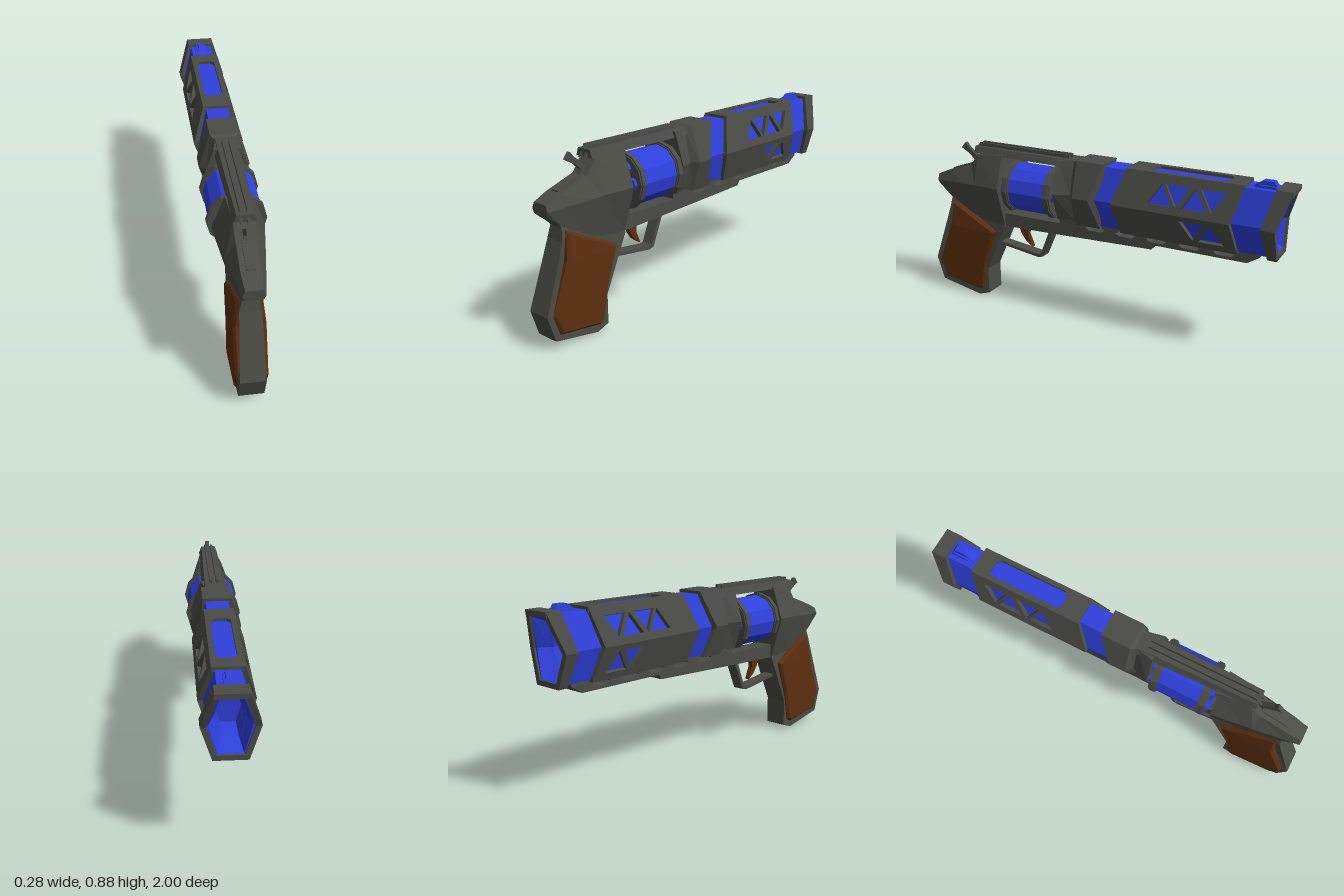
import * as THREE from 'three';

const mat = (name, color) => {
  const m = new THREE.MeshStandardMaterial({ color });
  m.name = name;
  return m;
};

// Hexagonal barrel section, counter-clockwise seen from +z, and the level of each corner
const HEX = [[0.075, 0.535], [0.125, 0.69], [0.07, 0.867], [-0.07, 0.867], [-0.125, 0.69], [-0.075, 0.535]];
const BORE = [[0.06, 0.545], [0.1, 0.69], [0.055, 0.853], [-0.055, 0.853], [-0.1, 0.69], [-0.06, 0.545]];
const LEVEL = [0, 1, 2, 2, 1, 0];

export function createModel() {
  const root = new THREE.Group();
  root.name = 'revolver';
  const steel = mat('dark steel', 0x4b4c46);
  const blue = mat('blue metal', 0x2f40dc);
  const wood = mat('brown grip', 0x5c2e0f);

  const add = (name, geometry, material, parent = root) => {
    const mesh = new THREE.Mesh(geometry, material);
    mesh.name = name;
    parent.add(mesh);
    return mesh;
  };

  const toShape = (pts) => new THREE.Shape(pts.map(([u, v]) => new THREE.Vector2(u, v)));

  // Side profile in (z, y), extruded across x and centred
  const slab = (pts, width, holes = [], bevel = 0) => {
    const shape = toShape(pts);
    shape.holes = holes.map(toShape);
    const depth = width - 2 * bevel;
    const g = new THREE.ExtrudeGeometry(shape, {
      depth, bevelEnabled: bevel > 0, bevelSize: bevel, bevelThickness: bevel, bevelOffset: -bevel, bevelSegments: 1,
    });
    g.translate(0, 0, -depth / 2);
    return g.applyMatrix4(new THREE.Matrix4().makeBasis(
      new THREE.Vector3(0, 0, 1), new THREE.Vector3(0, 1, 0), new THREE.Vector3(-1, 0, 0)));
  };

  // Faceted skin through rings of [x, y, z] points, closed at both ends
  const loft = (rings) => {
    const pos = [];
    const tri = (a, b, c) => pos.push(...a, ...b, ...c);
    const n = rings[0].length;
    for (let i = 0; i + 1 < rings.length; i++) {
      for (let j = 0; j < n; j++) {
        const k = (j + 1) % n;
        tri(rings[i][j], rings[i][k], rings[i + 1][k]);
        tri(rings[i][j], rings[i + 1][k], rings[i + 1][j]);
      }
    }
    const first = rings[0], last = rings[rings.length - 1];
    for (let j = 1; j + 1 < n; j++) {
      tri(first[0], first[j + 1], first[j]);
      tri(last[0], last[j], last[j + 1]);
    }
    const g = new THREE.BufferGeometry();
    g.setAttribute('position', new THREE.Float32BufferAttribute(pos, 3));
    g.computeVertexNormals();
    return g;
  };

  // Hexagon ring, scaled about the bore axis; z is given per level [bottom, middle, top]
  const ring = (hex, zs, sx = 1, sy = sx) =>
    hex.map(([x, y], i) => [x * sx, 0.69 + (y - 0.69) * sy, zs[LEVEL[i]]]);
  const flat = (z) => [z, z, z];

  // Six plates around the hexagon with chevron ends; holes are [z, fraction] lists
  const sleeve = (name, rear, front, holesFor = () => []) => {
    const group = new THREE.Group();
    group.name = name;
    root.add(group);
    HEX.forEach((a, i) => {
      const j = (i + 1) % 6, b = HEX[j];
      const edge = new THREE.Vector3(b[0] - a[0], b[1] - a[1], 0);
      const len = edge.length();
      const la = LEVEL[i], lb = LEVEL[j];
      const shape = toShape([[rear[la], 0], [rear[lb], len], [front[lb], len], [front[la], 0]]);
      const flip = i > 2;
      shape.holes = holesFor(i).map((h) => toShape(h.map(([z, t]) => [z, (flip ? 1 - t : t) * len])));
      const g = new THREE.ExtrudeGeometry(shape, { depth: 0.024, bevelEnabled: false });
      const X = new THREE.Vector3(0, 0, 1), Y = edge.normalize();
      const m = new THREE.Matrix4().makeBasis(X, Y, new THREE.Vector3().crossVectors(X, Y));
      m.setPosition(a[0], a[1], 0);
      add(name + 'Plate', g.applyMatrix4(m), steel, group);
    });
  };

  // Barrel: blue core with a funnel mouth, under dark sleeves
  const mouth = [-0.945, -0.935, -0.985];
  add('barrelCore', loft([
    ring(BORE, flat(-0.78), 0.55), ring(BORE, flat(-0.87), 0.62), ring(BORE, [-0.89, -0.88, -0.9], 0.7),
    ring(BORE, mouth, 0.9), ring(BORE, mouth), ring(BORE, flat(0.05)),
  ]), blue);
  const triangle = (z, up, t0, t1) => up
    ? [[z - 0.062, t0], [z + 0.062, t0], [z, t1]]
    : [[z - 0.062, t1], [z + 0.062, t1], [z, t0]];
  const upper = [-0.39, -0.47, -0.56, -0.645].map((z, i) => triangle(z, i % 2 === 0, 0.2, 0.75));
  const lower = [triangle(-0.553, false, 0.2, 0.83), triangle(-0.645, true, 0.2, 0.83)];
  const slot = [[-0.7, 0.3], [-0.7, 0.7], [-0.68, 0.83], [-0.33, 0.83], [-0.31, 0.7], [-0.31, 0.3], [-0.33, 0.17], [-0.68, 0.17]];
  sleeve('barrelSleeve', [-0.175, -0.14, -0.2], [-0.77, -0.735, -0.78],
    (i) => [lower, upper, [slot], upper, lower, []][i]);
  sleeve('muzzleRing', [-0.91, -0.88, -0.925], [-0.955, -0.945, -1.0]);
  add('breech', loft([
    ring(HEX, [-0.06, -0.015, -0.08]), ring(HEX, flat(0.07)),
    ring(HEX, flat(0.1), 0.7, 0.92), ring(HEX, flat(0.185), 0.96, 0.92),
  ]), steel);
  add('frontSight', slab([[-0.79, 0.845], [-0.85, 0.885], [-0.9, 0.885], [-0.925, 0.845]], 0.036), blue);
  for (const s of [-1, 1]) {
    add('sightCheek', slab([[-0.8, 0.845], [-0.83, 0.865], [-0.91, 0.865], [-0.925, 0.845]], 0.01), blue)
      .position.x = s * 0.023;
  }

  // Lower frame with a vented rail below the barrel
  const vents = [-0.02, -0.19, -0.355, -0.525, -0.7].map((z) => [
    [z - 0.055, 0.518], [z - 0.035, 0.506], [z + 0.035, 0.506],
    [z + 0.055, 0.518], [z + 0.035, 0.531], [z - 0.035, 0.531]]);
  add('lowerFrame', slab([
    [0.6, 0.44], [0.24, 0.45], [-0.33, 0.468], [-0.345, 0.492], [-0.81, 0.492], [-0.87, 0.53], [-0.87, 0.55],
    [0.185, 0.55], [0.185, 0.515], [0.6, 0.515]], 0.1, vents), steel);

  // Rear frame: rows of [z, bottom y, half width, middle y, half width, top y, half width]
  add('rearFrame', loft([
    [0.52, 0.44, 0.055, 0.665, 0.12, 0.83, 0.06],
    [0.68, 0.46, 0.05, 0.66, 0.095, 0.815, 0.048],
    [0.73, 0.48, 0.05, 0.655, 0.088, 0.75, 0.045],
    [0.88, 0.56, 0.045, 0.645, 0.062, 0.7, 0.045],
    [0.955, 0.62, 0.04, 0.64, 0.05, 0.67, 0.038],
  ].map(([z, yb, wb, ym, wm, yt, wt]) => [
    [wb, yb, z], [wm, ym, z], [wt, yt, z], [-wt, yt, z], [-wm, ym, z], [-wb, yb, z]])), steel);

  // Top strap and its two rails
  add('topStrap', loft([[0.08, 0.064], [0.7, 0.05]].map(([z, w]) => [
    [w, 0.822, z], [w * 0.75, 0.858, z], [-w * 0.75, 0.858, z], [-w, 0.822, z]])), steel);
  for (const s of [-1, 1]) {
    add('strapRail', slab([[0.715, 0.82], [0.68, 0.875], [0.14, 0.875], [0.14, 0.84]], 0.012), steel)
      .position.x = s * 0.016;
  }

  // Hammer and its seat
  add('hammer', slab([
    [0.66, 0.73], [0.75, 0.73], [0.73, 0.775], [0.765, 0.805], [0.81, 0.83],
    [0.785, 0.86], [0.768, 0.838], [0.7, 0.785]], 0.022), steel);
  add('hammerSeat', slab([[0.73, 0.758], [0.87, 0.71], [0.87, 0.68], [0.73, 0.72]], 0.04), steel);

  // Cylinder drum with flanges, chambers and axle
  const drum = new THREE.Group();
  drum.name = 'cylinder';
  drum.position.y = 0.665;
  root.add(drum);
  const disc = (name, r, z0, z1, sides, material, x = 0, y = 0) => {
    const g = new THREE.CylinderGeometry(r, r, z1 - z0, sides).toNonIndexed();
    g.computeVertexNormals();
    g.rotateX(Math.PI / 2).translate(x, y, (z0 + z1) / 2);
    add(name, g, material, drum);
  };
  disc('drumBody', 0.127, 0.21, 0.475, 12, blue);
  for (const [z0, z1] of [[0.2, 0.24], [0.447, 0.485]]) {
    disc('drumFlangeCore', 0.133, z0, z1, 12, steel);
    disc('drumFlange', 0.139, z0 + 0.007, z1 - 0.007, 12, steel);
  }
  for (let i = 0; i < 6; i++) {
    const a = (i * Math.PI) / 3;
    disc('chamber', 0.03, 0.188, 0.503, 8, blue, 0.08 * Math.cos(a), 0.08 * Math.sin(a));
  }
  disc('axle', 0.028, 0.17, 0.54, 8, steel);

  // Grip: steel spine and wooden side panels, narrowing towards the top
  const narrow = (g) => {
    const p = g.attributes.position;
    for (let i = 0; i < p.count; i++) {
      const cut = Math.max(0, p.getY(i) - 0.44) * 0.2;
      p.setX(i, p.getX(i) - Math.sign(p.getX(i)) * cut);
    }
    g.computeVertexNormals();
    return g;
  };
  add('gripSpine', narrow(slab([
    [0.94, 0.625], [0.875, 0.55], [0.885, 0.49], [0.995, 0.175], [0.955, 0.05], [0.71, 0.003],
    [0.645, 0.025], [0.645, 0.17], [0.585, 0.3], [0.52, 0.44], [0.55, 0.53], [0.75, 0.62]], 0.118)), steel);
  add('gripPanels', narrow(slab([
    [0.86, 0.535], [0.58, 0.4], [0.645, 0.21], [0.672, 0.055], [0.7, 0.04],
    [0.93, 0.075], [0.965, 0.17], [0.875, 0.4]], 0.148, [], 0.012)), wood);

  // Trigger and guard
  add('trigger', slab([
    [0.465, 0.46], [0.4, 0.46], [0.405, 0.4], [0.378, 0.335], [0.42, 0.365], [0.447, 0.405]], 0.026), wood);
  add('triggerGuard', slab([
    [0.61, 0.328], [0.335, 0.29], [0.305, 0.298], [0.235, 0.46], [0.258, 0.46],
    [0.318, 0.312], [0.335, 0.308], [0.6, 0.342]], 0.06), steel);

  return root;
}
